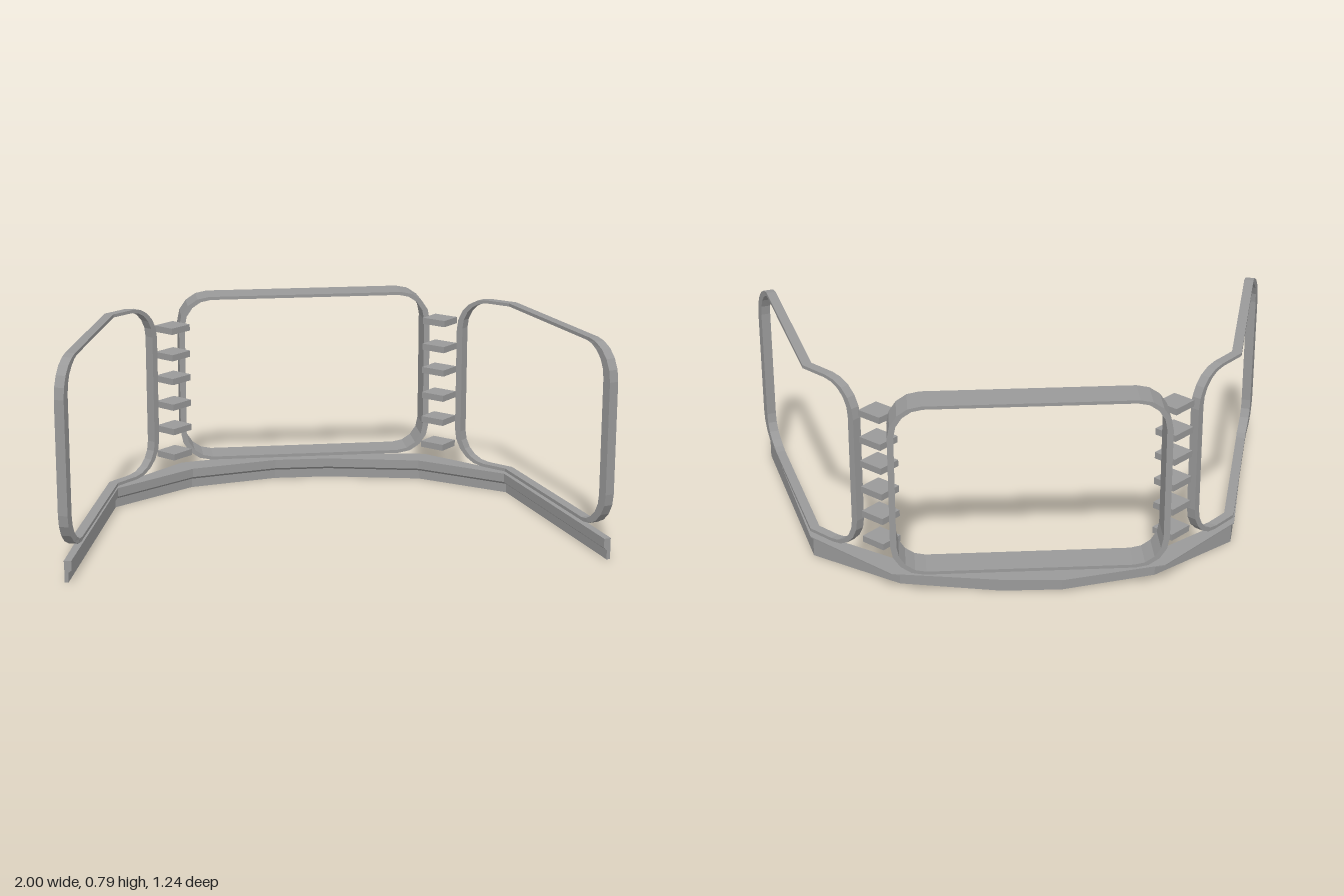
import * as THREE from 'three';

const metal = new THREE.MeshStandardMaterial({ color: 0x999999, flatShading: true, side: THREE.DoubleSide });
metal.name = 'grey metal';

function mesh(geometry, name) {
  const m = new THREE.Mesh(geometry, metal);
  m.name = name;
  return m;
}

// Skins a list of equal cross-sections ([x, y, z] points)
function skin(sections, closed) {
  const n = sections[0].length, pos = sections.flat(2), idx = [];
  const last = closed ? sections.length : sections.length - 1;
  for (let i = 0; i < last; i++) {
    const a = i * n, b = ((i + 1) % sections.length) * n;
    for (let j = 0; j < n; j++) {
      const k = (j + 1) % n;
      idx.push(a + j, b + j, b + k, a + j, b + k, a + k);
    }
  }
  const g = new THREE.BufferGeometry();
  g.setAttribute('position', new THREE.Float32BufferAttribute(pos, 3));
  g.setIndex(idx);
  g.computeVertexNormals();
  return g;
}

// Mitred normals of an open plan polyline of [x, z] points
function planNormals(path) {
  const seg = path.slice(1).map((p, i) =>
    new THREE.Vector2(-(p[1] - path[i][1]), p[0] - path[i][0]).normalize());
  return path.map((_, i) => {
    const a = seg[Math.max(0, i - 1)], b = seg[Math.min(seg.length - 1, i)];
    const m = a.clone().add(b).normalize();
    return m.multiplyScalar(1 / m.dot(a));
  });
}

// Rounded rectangle as [u, v] points; extra = u stops on the long sides
function roundedLoop(u0, u1, v0, v1, r, steps, extra = []) {
  const pts = [];
  const arc = (cu, cv, a0) => {
    for (let i = 0; i <= steps; i++) {
      const a = a0 + (i / steps) * Math.PI / 2;
      pts.push([cu + r * Math.cos(a), cv + r * Math.sin(a)]);
    }
  };
  arc(u1 - r, v1 - r, 0);
  [...extra].reverse().forEach(u => pts.push([u, v1]));
  arc(u0 + r, v1 - r, Math.PI / 2);
  arc(u0 + r, v0 + r, Math.PI);
  extra.forEach(u => pts.push([u, v0]));
  arc(u1 - r, v0 + r, Math.PI * 1.5);
  return pts;
}

// Deep centre frame
function centreFrame() {
  const vec = l => l.map(p => new THREE.Vector2(...p));
  const shape = new THREE.Shape(vec(roundedLoop(-0.503, 0.503, 0.108, 0.777, 0.12, 4)));
  shape.holes.push(new THREE.Path(vec(roundedLoop(-0.48, 0.48, 0.12, 0.765, 0.105, 4))));
  const g = new THREE.ExtrudeGeometry(shape, { depth: 0.126, bevelEnabled: false });
  g.translate(0, 0, -0.591);
  return mesh(g, 'centreFrame');
}

// Thin side frame, wrapped along a bent plan line
function sideFrame(side) {
  const plan = [[0.608, -0.383], [0.675, -0.315], [0.783, -0.205], [0.943, 0.48], [0.982, 0.582]];
  const normals = planNormals(plan), s = [0];
  for (let i = 1; i < plan.length; i++) {
    s.push(s[i - 1] + Math.hypot(plan[i][0] - plan[i - 1][0], plan[i][1] - plan[i - 1][1]));
  }
  const length = s[s.length - 1];
  const place = ([u, v], off) => {
    let i = 0;
    while (i < s.length - 2 && u > s[i + 1]) i++;
    const t = (u - s[i]) / (s[i + 1] - s[i]);
    const at = (p, q) => p + (q - p) * t;
    const x = at(plan[i][0], plan[i + 1][0]) + off * at(normals[i].x, normals[i + 1].x);
    const z = at(plan[i][1], plan[i + 1][1]) + off * at(normals[i].y, normals[i + 1].y);
    const rise = 0.02 * (u / length) * (v - 0.095) / 0.68;
    return [side * x, v + rise, z];
  };
  const outer = roundedLoop(0, length, 0.095, 0.773, 0.135, 5, [s[2]]);
  const inner = roundedLoop(0.027, length - 0.04, 0.107, 0.761, 0.115, 5, [s[2]]);
  const sections = outer.map((p, i) => [
    place(p, -0.018), place(p, 0.018), place(inner[i], 0.018), place(inner[i], -0.018)]);
  if (side < 0) sections.reverse();
  return mesh(skin(sections, true), side > 0 ? 'leftFrame' : 'rightFrame');
}

// Slats between the centre frame and a side frame
function slats(side) {
  const group = new THREE.Group();
  group.name = side > 0 ? 'leftSlats' : 'rightSlats';
  for (const y of [0.16, 0.264, 0.364, 0.468, 0.564, 0.67]) {
    const slat = mesh(new THREE.BoxGeometry(0.102, 0.025, 0.092), 'slat');
    slat.position.set(side * 0.533, y, -0.405);
    slat.rotation.y = -side * 0.76;
    group.add(slat);
  }
  return group;
}

// Bent base rail: a wall with a thicker top, under a thin flange that widens at the back
function baseRail() {
  const wall = [[-0.983, 0.615], [-0.79, -0.23], [-0.47, -0.462], [-0.12, -0.545],
    [0.1, -0.54], [0.47, -0.462], [0.79, -0.23], [0.983, 0.615]];
  const rim = [[-0.984, 0.615], [-0.8, -0.23], [-0.5, -0.53], [-0.12, -0.615],
    [0.1, -0.6], [0.5, -0.53], [0.8, -0.23], [0.984, 0.615]];
  const profile = [[0, 0], [0, 0.08], [0.026, 0.08], [0.026, 0.045], [0.014, 0.035], [0.014, 0]];
  const normals = planNormals(wall);
  const sections = wall.map((p, i) => profile.map(([d, y]) =>
    [p[0] + normals[i].x * d, y, p[1] + normals[i].y * d]));
  const flange = rim.map(([x, z], i) => [
    [x, 0.076, z], [x, 0.08, z], [wall[i][0], 0.08, wall[i][1]], [wall[i][0], 0.076, wall[i][1]]]);
  const group = new THREE.Group();
  group.name = 'baseRail';
  group.add(mesh(skin(sections, false), 'railWall'), mesh(skin(flange, false), 'railFlange'));
  // End caps
  const tris = THREE.ShapeUtils.triangulateShape(profile.map(p => new THREE.Vector2(...p)), []);
  for (const section of [sections[0], sections[sections.length - 1]]) {
    const g = new THREE.BufferGeometry();
    g.setAttribute('position', new THREE.Float32BufferAttribute(section.flat(), 3));
    g.setIndex(tris.flat());
    g.computeVertexNormals();
    group.add(mesh(g, 'railEnd'));
  }
  return group;
}

export function createModel() {
  const model = new THREE.Group();
  model.name = 'frames';
  model.add(centreFrame(), baseRail());
  for (const side of [1, -1]) model.add(sideFrame(side), slats(side));
  return model;
}
